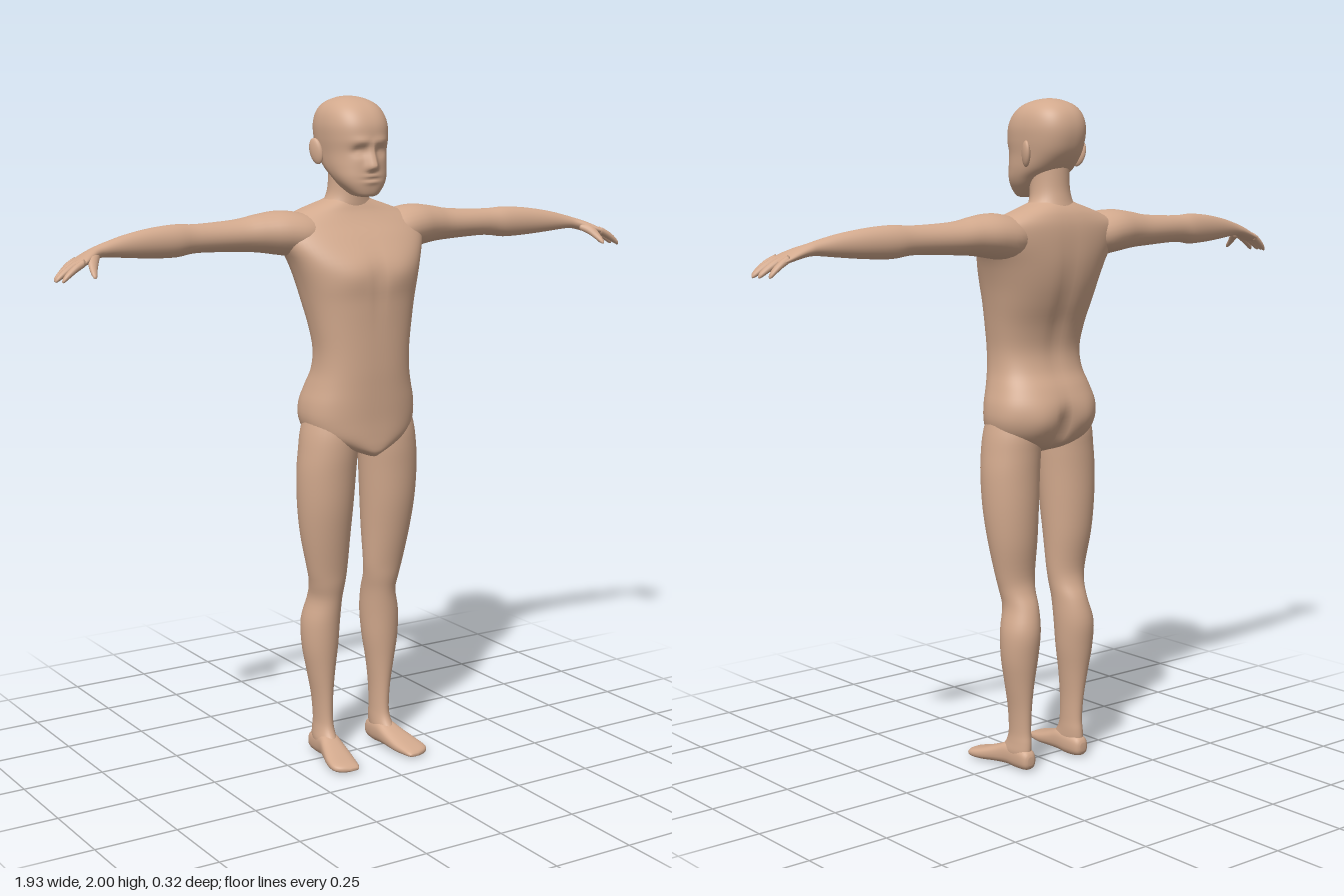
import * as THREE from 'three';

const skin = new THREE.MeshStandardMaterial({ color: 0xd2a98d });
skin.name = 'skin';

// Smooth loft. Each row is [t, u0, u1, v0, v1]: position along the axis (ascending), then the section's extents.
// axis y: u = x, v = z; axis x: u = z, v = y; axis z: u = x, v = y.
function loft(rows, axis, { sides = 28, sub = 4, power = 2, rule = null } = {}) {
  const place = {
    x: (t, u, v) => [t, v, u],
    y: (t, u, v) => [u, t, v],
    z: (t, u, v) => [u, v, t],
  }[axis];
  const at = (i) => rows[Math.min(Math.max(i, 0), rows.length - 1)];
  const rings = [];
  for (let i = 0; i < rows.length - 1; i++) {
    for (let s = 0; s < sub; s++) {
      const f = s / sub;
      rings.push(rows[i].map((_, k) => {
        const [a, b, c, d] = [at(i - 1)[k], at(i)[k], at(i + 1)[k], at(i + 2)[k]];
        return b + 0.5 * f * (c - a + f * (2 * a - 5 * b + 4 * c - d + f * (3 * (b - c) + d - a)));
      }));
    }
  }
  rings.push(rows[rows.length - 1]);

  const pos = [], index = [];
  const round = (c) => Math.sign(c) * Math.abs(c) ** (2 / power);
  const add = (t, u, v) => {
    const p = place(t, u, v);
    if (rule) rule(p);
    pos.push(...p);
  };
  for (const [t, u0, u1, v0, v1] of rings) {
    for (let j = 0; j < sides; j++) {
      const a = (j / sides) * Math.PI * 2;
      add(t, (u0 + u1) / 2 + ((u1 - u0) / 2) * round(Math.cos(a)),
        (v0 + v1) / 2 + ((v1 - v0) / 2) * round(Math.sin(a)));
    }
  }
  const last = rings.length - 1;
  for (const r of [rings[0], rings[last]]) add(r[0], (r[1] + r[2]) / 2, (r[3] + r[4]) / 2);
  const start = rings.length * sides;
  for (let j = 0; j < sides; j++) {
    const k = (j + 1) % sides;
    for (let i = 0; i < last; i++) {
      const a = i * sides + j, b = i * sides + k;
      index.push(a, b, a + sides, b, b + sides, a + sides);
    }
    index.push(start, k, j, start + 1, last * sides + j, last * sides + k);
  }
  // (u, v, t) is right-handed only for the z axis
  if (axis !== 'z') flip(index);
  const geo = new THREE.BufferGeometry();
  geo.setAttribute('position', new THREE.Float32BufferAttribute(pos, 3));
  geo.setIndex(index);
  geo.computeVertexNormals();
  return geo;
}

// Reverse the corner order of every triangle
function flip(index) {
  for (let i = 0; i < index.length; i += 3) [index[i], index[i + 1]] = [index[i + 1], index[i]];
}

// Rows symmetric about x = 0: [y, halfWidth, back, front]
const symmetric = (rows) => rows.map(([y, w, b, f]) => [y, -w, w, b, f]);
const bell = (d, s) => Math.exp(-((d / s) ** 2));

function part(parent, name, geo) {
  const mesh = new THREE.Mesh(geo, skin);
  mesh.name = name;
  parent.add(mesh);
  return mesh;
}

// Cleft of the seat, spine groove and chest relief
function shapeTorso(p) {
  const [x, y, z] = p;
  if (z < -0.03) {
    p[2] += 0.03 * bell(x, 0.018) * bell(y - 1.03, 0.06);
    p[2] += 0.008 * bell(x, 0.028) * bell(y - 1.4, 0.17);
    p[2] -= 0.01 * bell(Math.abs(x) - 0.085, 0.05) * bell(y - 1.06, 0.06);
  } else if (z > 0.04) {
    p[2] += 0.007 * bell(Math.abs(x) - 0.075, 0.06) * bell(y - 1.495, 0.04);
    p[2] -= 0.004 * bell(x, 0.014) * bell(y - 1.46, 0.09);
  }
}

// Eye sockets, brow, nose and lips
function shapeFace(p) {
  const [x, y, z] = p;
  if (z < 0.015) return;
  const side = Math.abs(x);
  p[2] -= 0.013 * bell(side - 0.036, 0.02) * bell(y - 1.845, 0.014);
  p[2] += 0.005 * bell(side - 0.03, 0.03) * bell(y - 1.873, 0.012);
  p[2] += 0.005 * bell(side - 0.036, 0.013) * bell(y - 1.842, 0.008);
  const drop = THREE.MathUtils.clamp((1.86 - y) / 0.055, 0, 1);
  const under = THREE.MathUtils.smoothstep(y, 1.782, 1.8);
  p[2] += (0.006 + 0.02 * drop) * bell(x, 0.009 + 0.007 * drop) * under * THREE.MathUtils.smoothstep(1.885 - y, 0, 0.03);
  p[2] += 0.004 * bell(x, 0.025) * (bell(y - 1.774, 0.007) + bell(y - 1.757, 0.007));
  p[2] -= 0.003 * bell(x, 0.026) * bell(y - 1.765, 0.004);
}

function arm() {
  const g = new THREE.Group();
  part(g, 'armAndPalm', loft([
    [0.08, -0.1, 0, 1.57, 1.645], [0.16, -0.138, 0.03, 1.54, 1.667],
    [0.23, -0.142, 0.022, 1.547, 1.676], [0.3, -0.13, 0, 1.558, 1.668],
    [0.37, -0.12, -0.015, 1.563, 1.656], [0.5, -0.1, -0.022, 1.568, 1.65],
    [0.57, -0.094, -0.015, 1.56, 1.653], [0.65, -0.08, -0.012, 1.563, 1.647],
    [0.73, -0.063, -0.008, 1.57, 1.634], [0.79, -0.05, -0.004, 1.576, 1.619],
    [0.82, -0.047, 0.002, 1.575, 1.61], [0.85, -0.045, 0.022, 1.567, 1.6],
    [0.88, -0.043, 0.042, 1.558, 1.586], [0.903, -0.038, 0.045, 1.553, 1.573],
    [0.91, -0.03, 0.038, 1.557, 1.566],
  ], 'x'));
  // Four fingers: root z, tip z, tip x
  [[0.034, 0.044, 0.953], [0.013, 0.024, 0.965], [-0.009, 0.002, 0.959], [-0.029, -0.025, 0.942]]
    .forEach(([z0, z1, tip]) => {
      const rows = [[0, 0.011], [0.35, 0.0115], [0.7, 0.0105], [0.93, 0.0075], [1, 0.002]].map(([f, r]) => {
        const z = z0 + (z1 - z0) * f, y = 1.571 - 0.027 * f - 0.018 * f * f;
        return [0.885 + (tip - 0.885) * f, z - r, z + r, y - r, y + r];
      });
      part(g, 'finger', loft(rows, 'x', { sides: 12, sub: 3 }));
    });
  part(g, 'thumb', loft([
    [0.005, 0.825, 0.86, 1.568, 1.594], [0.03, 0.84, 0.872, 1.556, 1.584],
    [0.052, 0.854, 0.876, 1.541, 1.563], [0.068, 0.862, 0.876, 1.532, 1.547], [0.074, 0.867, 0.872, 1.532, 1.538],
  ], 'z', { sides: 14 }));
  return g;
}

function leg() {
  const g = new THREE.Group();
  part(g, 'thighAndCalf', loft([
    [0.03, 0.08, 0.13, -0.075, 0.05], [0.055, 0.075, 0.134, -0.083, 0.036],
    [0.085, 0.075, 0.13, -0.083, 0.014], [0.12, 0.076, 0.128, -0.08, 0.006],
    [0.19, 0.074, 0.134, -0.083, 0.006], [0.27, 0.065, 0.149, -0.091, 0.01],
    [0.35, 0.053, 0.163, -0.102, 0.016], [0.43, 0.047, 0.164, -0.109, 0.021],
    [0.5, 0.045, 0.148, -0.094, 0.026], [0.55, 0.041, 0.153, -0.072, 0.035],
    [0.6, 0.036, 0.164, -0.066, 0.042], [0.7, 0.03, 0.184, -0.08, 0.06],
    [0.8, 0.024, 0.196, -0.086, 0.076], [0.9, 0.018, 0.199, -0.087, 0.085],
    [0.97, 0.014, 0.193, -0.088, 0.09], [1.03, 0.015, 0.184, -0.088, 0.088], [1.1, 0.04, 0.165, -0.07, 0.07],
  ], 'y', { sides: 36 }));
  part(g, 'foot', loft([
    [-0.093, 0.094, 0.115, 0.02, 0.045], [-0.082, 0.08, 0.128, 0.005, 0.062],
    [-0.04, 0.072, 0.133, 0.001, 0.075], [0, 0.07, 0.138, 0.004, 0.076],
    [0.04, 0.071, 0.15, 0.004, 0.06], [0.09, 0.075, 0.165, 0.001, 0.042],
    [0.13, 0.083, 0.168, 0.002, 0.031], [0.15, 0.088, 0.152, 0.004, 0.024], [0.16, 0.095, 0.122, 0.008, 0.016],
  ], 'z', { power: 2.5 }));
  return g;
}

function ear() {
  const g = new THREE.Group();
  const shell = part(g, 'ear', new THREE.SphereGeometry(1, 20, 14));
  shell.scale.set(0.011, 0.039, 0.023);
  shell.position.set(0.1, 1.842, -0.066);
  shell.rotation.set(-0.25, -0.35, -0.15);
  return g;
}

// Mirror a limb by reflecting its vertices and reversing the faces
function mirrored(group) {
  const copy = group.clone();
  copy.children.forEach((m) => {
    m.updateMatrix();
    m.geometry = m.geometry.clone().applyMatrix4(m.matrix).scale(-1, 1, 1);
    m.position.set(0, 0, 0);
    m.rotation.set(0, 0, 0);
    m.scale.set(1, 1, 1);
    flip(m.geometry.index.array);
    m.geometry.computeVertexNormals();
  });
  return copy;
}

export function createModel() {
  const model = new THREE.Group();
  model.name = 'humanFigure';

  part(model, 'torso', loft(symmetric([
    [0.952, 0.012, 0.03, 0.1], [0.965, 0.048, -0.035, 0.112], [0.985, 0.105, -0.085, 0.115],
    [1.015, 0.158, -0.112, 0.115], [1.06, 0.179, -0.13, 0.115], [1.11, 0.178, -0.132, 0.117],
    [1.16, 0.164, -0.115, 0.119], [1.21, 0.152, -0.09, 0.121], [1.27, 0.15, -0.08, 0.122],
    [1.34, 0.16, -0.094, 0.123], [1.41, 0.174, -0.12, 0.125], [1.47, 0.189, -0.138, 0.126],
    [1.53, 0.21, -0.148, 0.112], [1.59, 0.238, -0.15, 0.07], [1.635, 0.232, -0.147, 0.032],
    [1.665, 0.175, -0.139, 0.01], [1.685, 0.12, -0.128, 0], [1.702, 0.07, -0.113, -0.008],
    [1.72, 0.04, -0.095, -0.02],
  ]), 'y', { sides: 72, power: 2.4, rule: shapeTorso }));

  part(model, 'neck', loft(symmetric([
    [1.64, 0.12, -0.125, -0.005], [1.68, 0.088, -0.124, 0], [1.71, 0.066, -0.117, 0.002],
    [1.75, 0.059, -0.111, 0.005], [1.82, 0.06, -0.11, 0.01],
  ]), 'y', { sides: 36 }));

  part(model, 'head', loft(symmetric([
    [1.714, 0.022, 0.025, 0.064], [1.721, 0.041, 0, 0.074], [1.745, 0.064, -0.035, 0.08],
    [1.77, 0.078, -0.065, 0.081], [1.8, 0.086, -0.108, 0.08], [1.84, 0.09, -0.142, 0.079],
    [1.88, 0.095, -0.157, 0.083], [1.92, 0.096, -0.16, 0.079], [1.955, 0.087, -0.149, 0.06],
    [1.98, 0.067, -0.125, 0.03], [1.995, 0.035, -0.09, -0.01], [2.0, 0.008, -0.06, -0.045],
  ]), 'y', { sides: 96, sub: 6, power: 2.4, rule: shapeFace }));

  for (const [name, limb] of [['Arm', arm()], ['Leg', leg()], ['Ear', ear()]]) {
    const other = mirrored(limb);
    limb.name = 'left' + name;
    other.name = 'right' + name;
    model.add(limb, other);
  }
  return model;
}
